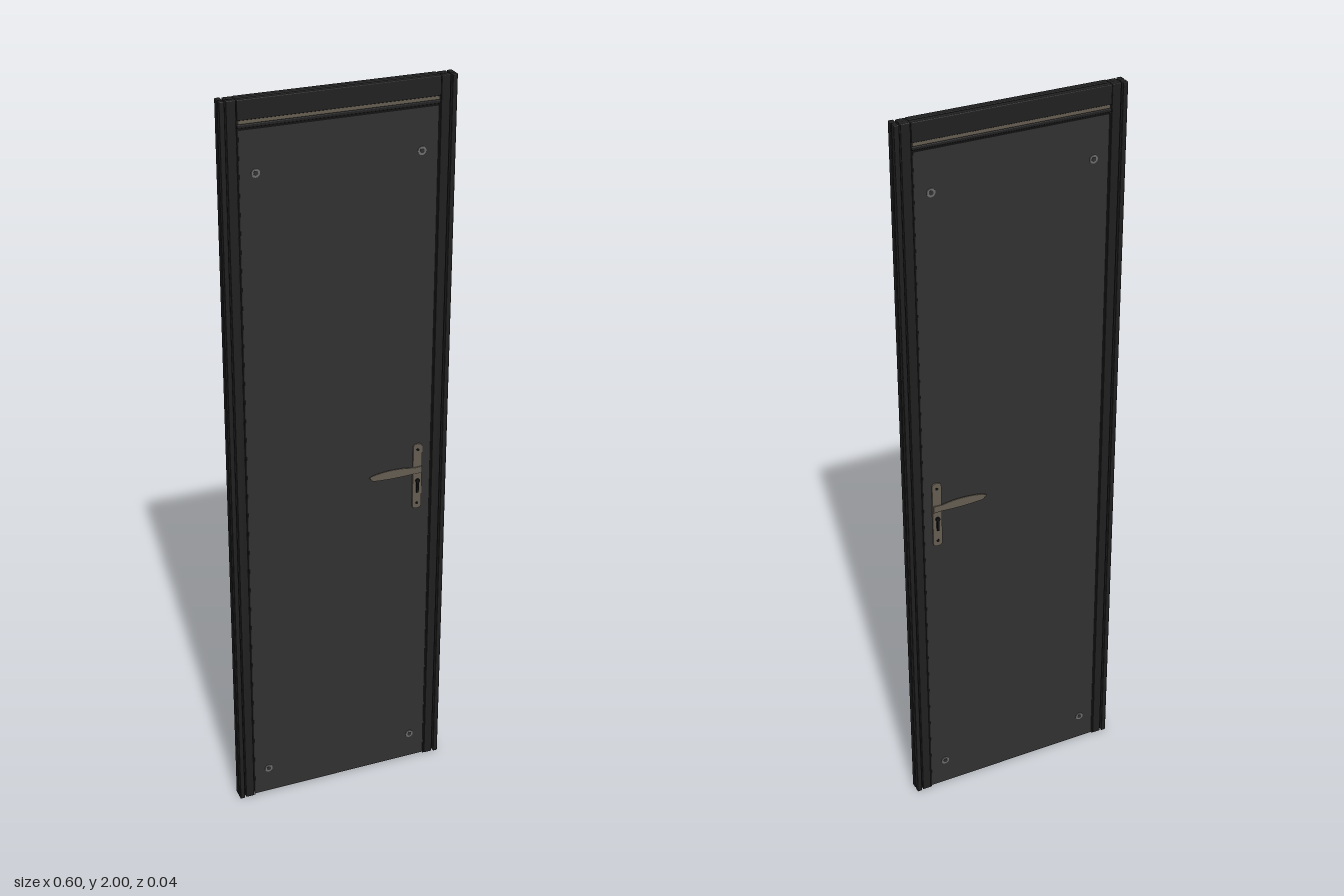
import * as THREE from 'three';
import { RoundedBoxGeometry } from 'three/addons/geometries/RoundedBoxGeometry.js';

const mat = (name, color) => new THREE.MeshStandardMaterial({ name, color });

export function createModel() {
  const door = new THREE.Group();
  door.name = 'door';
  const frameMat = mat('frame black', 0x1f1f1f);
  const panelMat = mat('panel charcoal', 0x303030);
  const bronze = mat('handle bronze', 0x645c50);
  const steel = mat('screw steel', 0x6c6c6c);
  const dark = mat('recess black', 0x101010);

  const add = (name, geo, material, x, y, z, parent = door) => {
    const m = new THREE.Mesh(geo, material);
    m.name = name;
    m.position.set(x, y, z);
    parent.add(m);
    return m;
  };
  const box = (name, w, h, d, material, x, y, z, parent) =>
    add(name, new THREE.BoxGeometry(w, h, d), material, x, y, z, parent);
  const bar = (name, w, h, d, x, y, z) =>
    add(name, new RoundedBoxGeometry(w, h, d, 2, 0.002), frameMat, x, y, z);
  // Slab from an outline, centred on its own z
  const slab = (shape, depth) => new THREE.ExtrudeGeometry(shape, {
    depth: depth - 0.002, bevelThickness: 0.001, bevelSize: 0.001, bevelSegments: 2, curveSegments: 12,
  }).translate(0, 0, -depth / 2 + 0.001);

  // Door leaf
  box('doorPanel', 0.51, 1.922, 0.026, panelMat, 0, 0.964, 0);

  // Side jambs: paired outer and inner profiles joined by a thin web
  for (const x of [-1, 1]) {
    box('jambWeb', 0.042, 1.998, 0.005, frameMat, x * 0.277, 1, 0);
    for (const z of [-1, 1]) {
      bar('outerJamb', 0.013, 2, 0.0165, x * 0.2935, 1, z * 0.0098);
      bar('innerJamb', 0.024, 2, 0.014, x * 0.271, 1, z * 0.0092);
      bar('jambLip', 0.004, 1.93, 0.003, x * 0.2565, 0.965, z * 0.0138);
    }
  }

  // Header with a groove along its top and a bronze seal beneath
  box('headerCore', 0.516, 0.06, 0.02, frameMat, 0, 1.968, 0);
  for (const z of [-1, 1]) {
    bar('headerRail', 0.516, 0.05, 0.0165, 0, 1.975, z * 0.0098);
    bar('headerLip', 0.516, 0.009, 0.012, 0, 1.9355, z * 0.0105);
  }
  box('headerSeal', 0.51, 0.009, 0.031, bronze, 0, 1.9455, 0);
  box('headerGap', 0.51, 0.006, 0.027, dark, 0, 1.928, 0);

  // Lever outline: slim neck widening into a grip, with a tapered tip
  const lever = new THREE.Shape();
  lever.moveTo(0.01, -0.009);
  lever.lineTo(0.01, 0.009);
  lever.lineTo(-0.012, 0.008);
  lever.quadraticCurveTo(-0.055, 0.017, -0.1, 0.012);
  lever.quadraticCurveTo(-0.13, 0.009, -0.137, 0.003);
  lever.lineTo(-0.128, -0.007);
  lever.quadraticCurveTo(-0.07, -0.012, -0.012, -0.008);

  // Backplate with rounded ends
  const plate = new THREE.Shape();
  plate.moveTo(0.012, -0.086);
  plate.lineTo(0.012, 0.086);
  plate.quadraticCurveTo(0.012, 0.096, 0, 0.096);
  plate.quadraticCurveTo(-0.012, 0.096, -0.012, 0.086);
  plate.lineTo(-0.012, -0.086);
  plate.quadraticCurveTo(-0.012, -0.096, 0, -0.096);
  plate.quadraticCurveTo(0.012, -0.096, 0.012, -0.086);

  const plateGeo = slab(plate, 0.005);
  const leverGeo = slab(lever, 0.004);
  const disc = (r, d) => new THREE.CylinderGeometry(r, r, d, 20).rotateX(Math.PI / 2);

  // Handle set and corner screws on both faces
  for (const z of [-1, 1]) {
    const handle = new THREE.Group();
    handle.name = z > 0 ? 'frontHandle' : 'backHandle';
    handle.position.x = 0.218;
    door.add(handle);
    add('backplate', plateGeo, bronze, 0, 0.92, z * 0.0145, handle);
    add('pivot', disc(0.009, 0.006), bronze, 0, 0.94, z * 0.0165, handle);
    add('lever', leverGeo, bronze, 0, 0.94, z * 0.0188, handle);
    add('lockCylinder', disc(0.006, 0.008), dark, 0, 0.908, z * 0.0175, handle);
    box('lockBody', 0.006, 0.03, 0.008, dark, 0, 0.888, z * 0.0175, handle);
    for (const y of [0.84, 1.0]) add('plateScrew', disc(0.004, 0.002), dark, 0, y, z * 0.017, handle);

    for (const x of [-0.214, 0.212]) for (const y of [0.08, 1.818]) {
      add('cornerScrew', disc(0.011, 0.003), steel, x, y, z * 0.0135);
      add('screwSocket', disc(0.006, 0.001), panelMat, x, y, z * 0.0152);
    }
  }
  return door;
}
